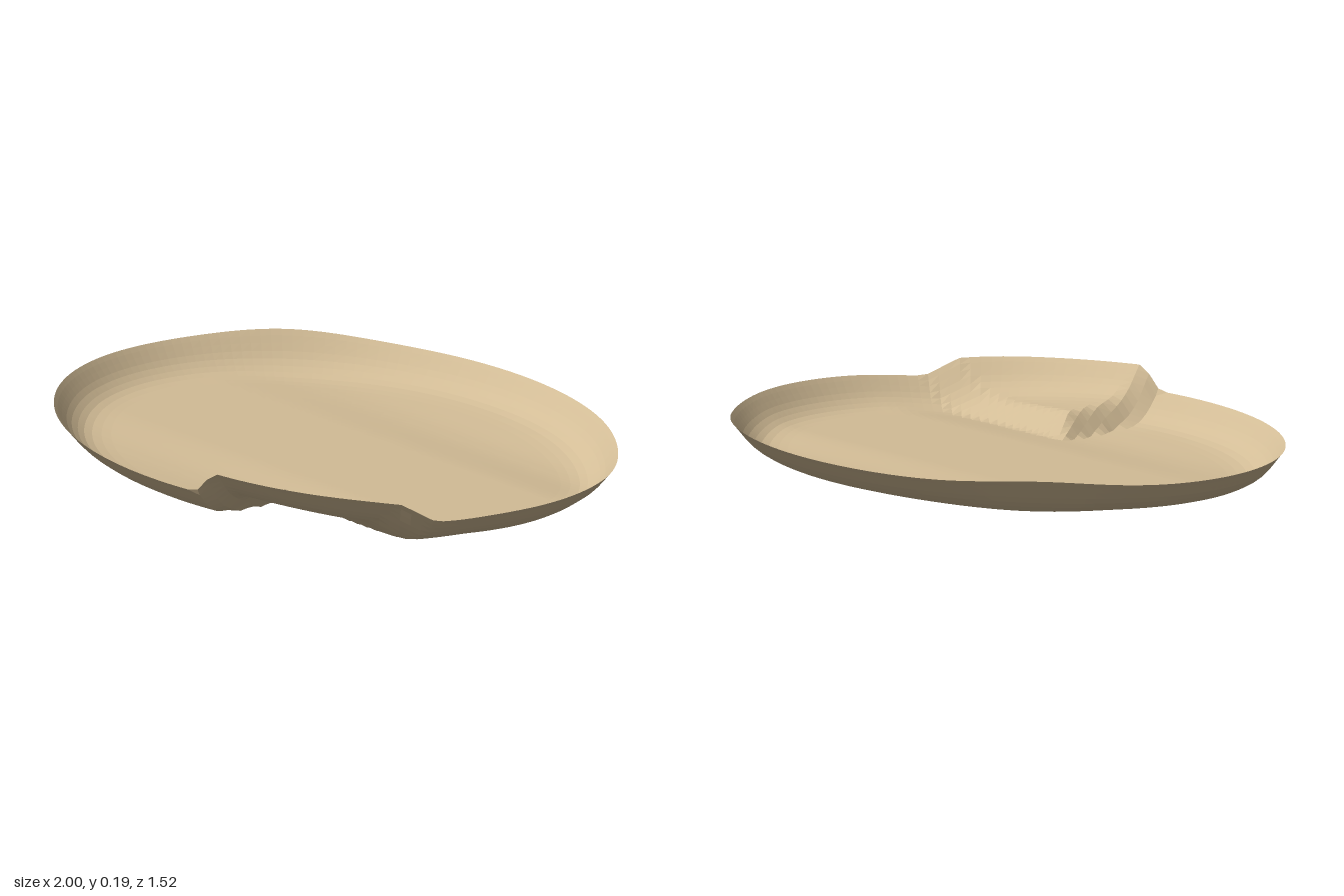
import * as THREE from 'three';

const SEGMENTS = 160;
const HALF_X = 1, HALF_Z = 0.762;

// Wall profile: [inset from the rim, height as a fraction of the rim height]
const WALL = [
  [0, 1], [0.012, 0.86], [0.025, 0.7], [0.04, 0.52], [0.056, 0.36],
  [0.075, 0.22], [0.095, 0.11], [0.12, 0.04], [0.15, 0.01], [0.18, 0],
];
const FLOOR_RINGS = 26;

const { smoothstep } = THREE.MathUtils;
const bump = (x, z, cx, cz, r) => Math.exp(-((x - cx) ** 2 + (z - cz) ** 2) / (r * r));

// Floor with a shallow trough along each long side, deeper towards +x
function floorHeight(x, z) {
  const a = Math.abs(z);
  const trough = smoothstep(a, 0.2, 0.42) * (1 - smoothstep(a, 0.44, 0.66));
  return 0.019 - trough * (0.012 + 0.007 * x);
}

// Rim waves gently: high at the back right, slightly low at the left ends
function rimHeight(x, z) {
  return 0.116 + 0.019 * bump(x, z, -0.78, -0.48, 0.26)
    - 0.011 * (bump(x, z, 0.84, -0.45, 0.24) + bump(x, z, 0.88, 0.36, 0.16));
}

// Raised corner shelf with steep inner sides, sloping down towards +x
function shelfLift(x, z) {
  const sideX = THREE.MathUtils.clamp((x - 0.195) / 0.075, 0, 1);
  const sideZ = THREE.MathUtils.clamp((z - 0.365) / 0.08, 0, 1);
  const height = 0.073 - 0.04 * (x - 0.27);
  return height * Math.min(smoothstep(sideX, -0.25, 1), sideZ) * (sideX > 0 ? 1 : 0);
}

function dishGeometry() {
  const positions = [], index = [];
  const rings = WALL.map(([inset, h]) => ({ inset, h, scale: 1 }));
  const lastInset = WALL[WALL.length - 1][0];
  for (let i = 1; i <= FLOOR_RINGS; i++) {
    rings.push({ inset: lastInset, h: 0, scale: 1 - i / (FLOOR_RINGS + 1) });
  }

  // Concentric rings from the rim to the centre
  for (const { inset, h, scale } of rings) {
    for (let j = 0; j < SEGMENTS; j++) {
      const t = (j / SEGMENTS) * Math.PI * 2;
      const x = Math.cos(t) * (HALF_X - inset) * scale;
      const z = Math.sin(t) * (HALF_Z - inset) * scale;
      const base = floorHeight(x, z);
      positions.push(x, base + (rimHeight(x, z) - base) * h + shelfLift(x, z), z);
    }
  }
  const centre = positions.length / 3;
  positions.push(0, floorHeight(0, 0), 0);

  for (let i = 0; i < rings.length; i++) {
    for (let j = 0; j < SEGMENTS; j++) {
      const k = (j + 1) % SEGMENTS;
      const a = i * SEGMENTS + j, b = i * SEGMENTS + k;
      if (i === rings.length - 1) {
        index.push(a, centre, b);
      } else {
        const c = a + SEGMENTS, d = b + SEGMENTS;
        index.push(a, c, b, b, c, d);
      }
    }
  }

  const geometry = new THREE.BufferGeometry();
  geometry.setAttribute('position', new THREE.Float32BufferAttribute(positions, 3));
  geometry.setIndex(index);
  geometry.computeVertexNormals();
  return geometry;
}

export function createModel() {
  const group = new THREE.Group();
  group.name = 'ovalDish';

  // Thin oval shell, open on top
  const material = new THREE.MeshStandardMaterial({
    color: 0xd2bc96, flatShading: true, side: THREE.DoubleSide,
  });
  const dish = new THREE.Mesh(dishGeometry(), material);
  dish.name = 'dishShell';
  group.add(dish);
  return group;
}
